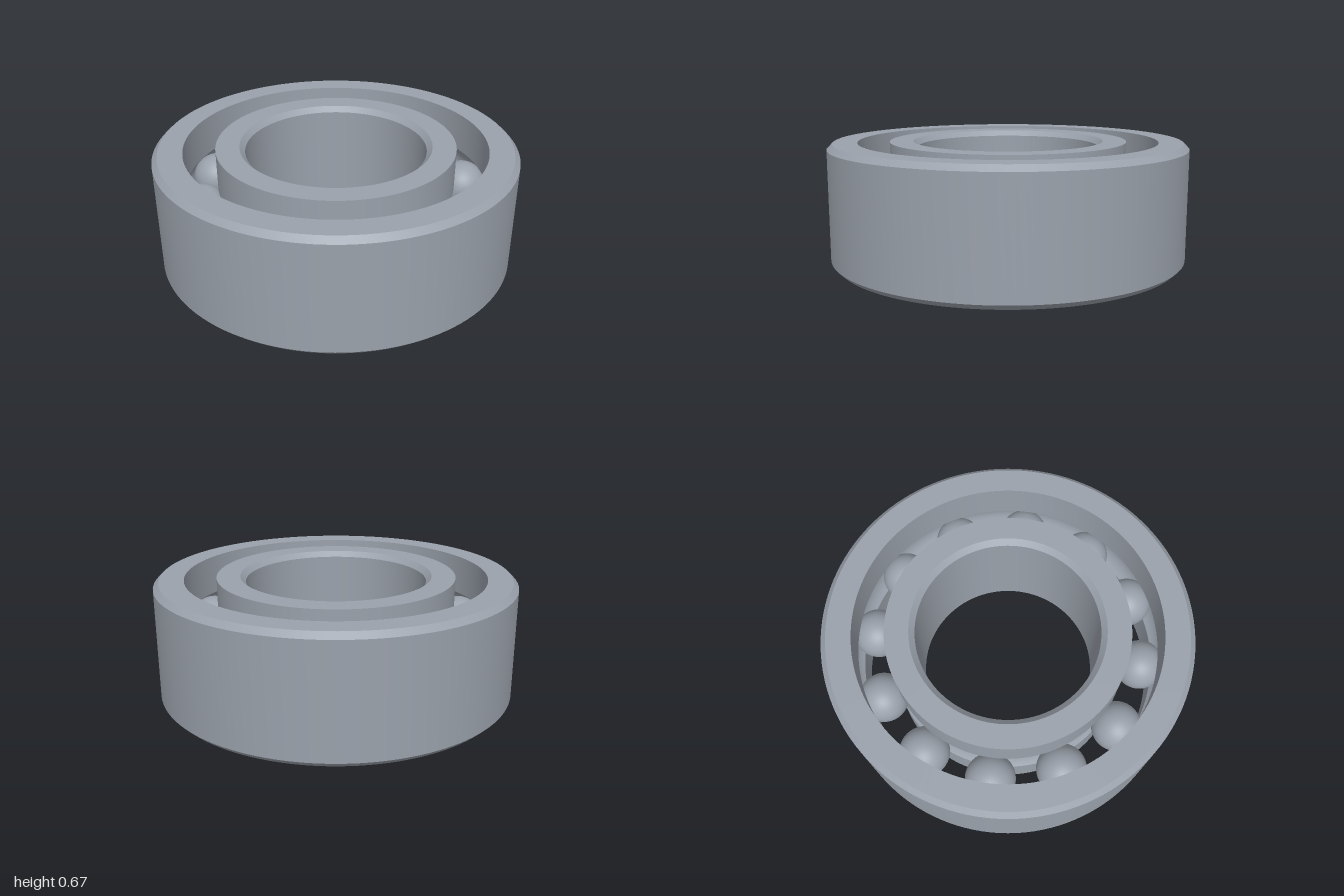
import * as THREE from 'three';
import { toCreasedNormals } from 'three/addons/utils/BufferGeometryUtils.js';

const HEIGHT = 0.67, MID = HEIGHT / 2, CHAMFER = 0.03;
const OUTER = 1, OUTER_LAND = 0.835, INNER_LAND = 0.66, BORE = 0.5;
const PITCH = 0.75, GROOVE = 0.14, BALL = 0.138, BALLS = 12;

// Race groove arc that meets a cylindrical land; side is +1 for the outer race, -1 for the inner
function groove(land, side) {
  const limit = Math.acos(Math.abs(land - PITCH) / GROOVE);
  const points = [];
  for (let i = 0; i <= 14; i++) {
    const t = side * limit * (1 - i / 7);
    points.push([PITCH + side * GROOVE * Math.cos(t), MID + GROOVE * Math.sin(t)]);
  }
  return points;
}

// Closed counter-clockwise section turned around y, with crisp edges
function ring(name, section, material) {
  const points = [...section, section[0]].map(([r, y]) => new THREE.Vector2(r, y));
  const geometry = toCreasedNormals(new THREE.LatheGeometry(points, 128), Math.PI / 6);
  const mesh = new THREE.Mesh(geometry, material);
  mesh.name = name;
  return mesh;
}

export function createModel() {
  const model = new THREE.Group();
  model.name = 'ballBearing';
  const steel = new THREE.MeshStandardMaterial({ color: 0x9aa1ab });
  steel.name = 'steel';

  // Outer ring: chamfered outside, grooved inside
  model.add(ring('outerRing', [
    [OUTER_LAND, 0], [OUTER - CHAMFER, 0], [OUTER, CHAMFER],
    [OUTER, HEIGHT - CHAMFER], [OUTER - CHAMFER, HEIGHT], [OUTER_LAND, HEIGHT],
    ...groove(OUTER_LAND, 1),
  ], steel));

  // Inner ring: grooved outside, chamfered bore
  model.add(ring('innerRing', [
    [BORE + CHAMFER, 0], [INNER_LAND, 0],
    ...groove(INNER_LAND, -1),
    [INNER_LAND, HEIGHT], [BORE + CHAMFER, HEIGHT],
    [BORE, HEIGHT - CHAMFER], [BORE, CHAMFER],
  ], steel));

  // Balls spaced evenly round the race
  const balls = new THREE.Group();
  balls.name = 'balls';
  const ballGeometry = new THREE.SphereGeometry(BALL, 40, 28);
  for (let i = 0; i < BALLS; i++) {
    const angle = THREE.MathUtils.degToRad(12) + (i / BALLS) * Math.PI * 2;
    const ball = new THREE.Mesh(ballGeometry, steel);
    ball.name = 'ball';
    ball.position.set(PITCH * Math.sin(angle), MID, -PITCH * Math.cos(angle));
    balls.add(ball);
  }
  model.add(balls);
  return model;
}
